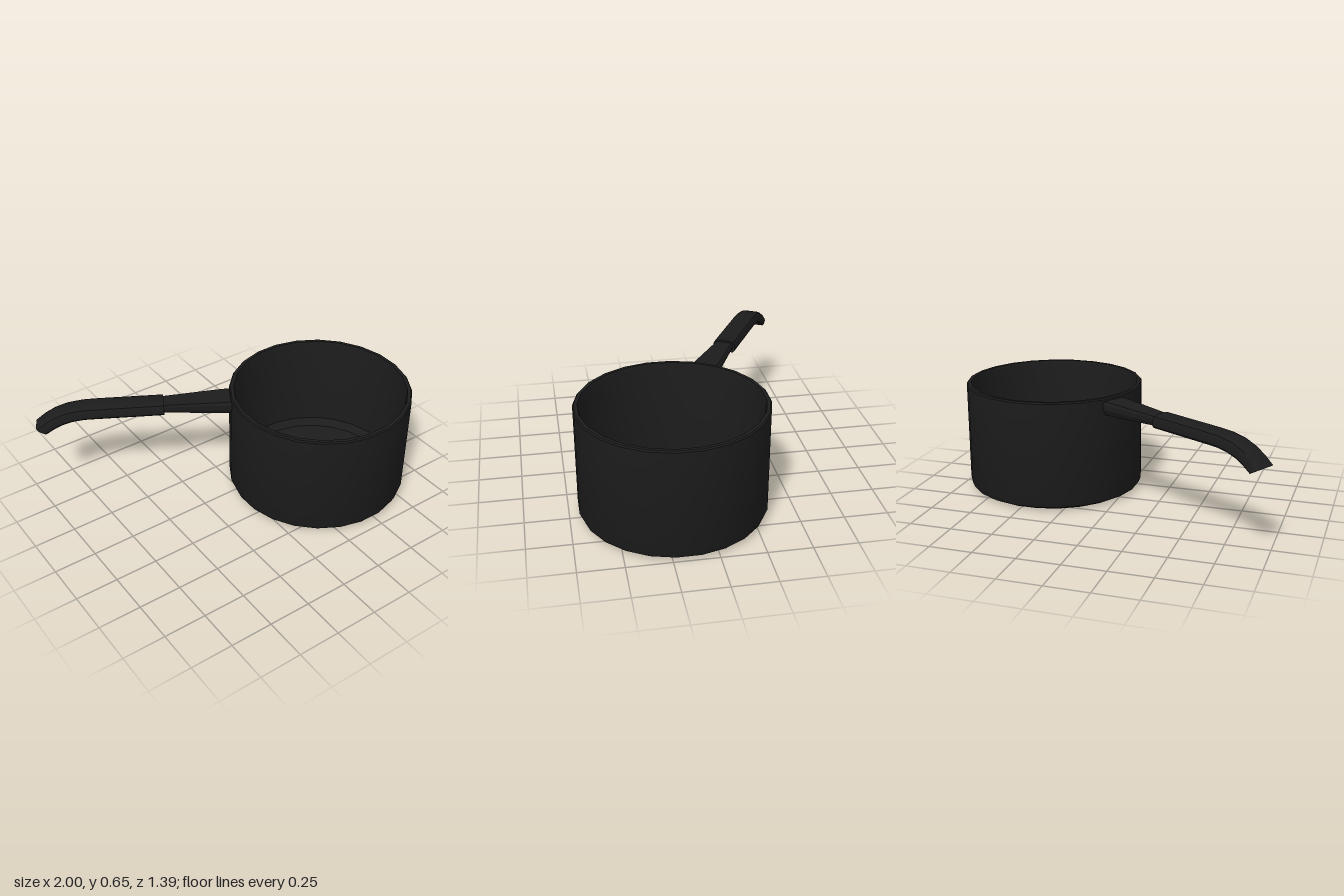
import * as THREE from 'three';
import { toCreasedNormals } from 'three/addons/utils/BufferGeometryUtils.js';

const material = new THREE.MeshStandardMaterial({ color: 0x1c1c1c });

// Skins a half profile (mirrored across the width) along sections.
// Section: [xTop, yTop, xBottom, yBottom, halfWidth]; profile: [u, v] from bottom to top.
function loft(sections, half, crease) {
  const ring = [...half, ...half.slice().reverse().map(([u, v]) => [-u, v])];
  const n = ring.length;
  const positions = [];
  const index = [];
  for (const [xt, yt, xb, yb, w] of sections) {
    for (const [u, v] of ring) {
      const k = (v + 1) / 2;
      positions.push(xb + (xt - xb) * k, yb + (yt - yb) * k, u * w);
    }
  }
  // End cap centres
  for (const [xt, yt, xb, yb] of [sections[0], sections.at(-1)]) {
    positions.push((xt + xb) / 2, (yt + yb) / 2, 0);
  }
  const last = (sections.length - 1) * n;
  const startCentre = sections.length * n;
  for (let j = 0; j < n; j++) {
    const k = (j + 1) % n;
    for (let r = 0; r < last; r += n) {
      index.push(r + j, r + n + j, r + k, r + k, r + n + j, r + n + k);
    }
    index.push(startCentre, j, k, startCentre + 1, last + k, last + j);
  }
  const geometry = new THREE.BufferGeometry();
  geometry.setAttribute('position', new THREE.Float32BufferAttribute(positions, 3));
  geometry.setIndex(index);
  return toCreasedNormals(geometry, crease);
}

function addMesh(parent, name, geometry) {
  const mesh = new THREE.Mesh(geometry, material);
  mesh.name = name;
  parent.add(mesh);
}

export function createModel() {
  const model = new THREE.Group();
  model.name = 'saucepan';

  // Everything is built around the pot's axis, with the handle along local +x
  const pan = new THREE.Group();
  pan.name = 'pan';
  pan.position.set(0.4675, 0, 0.165);
  model.add(pan);

  // Pot: outside, rim and inside in one turned profile
  const profile = [
    [0, 0], [0.488, 0], [0.522, 0.018], [0.535, 0.048], [0.535, 0.647], [0.528, 0.655],
    [0.508, 0.655], [0.502, 0.625], [0.495, 0.075], [0.46, 0.035], [0, 0.03],
  ].map(([x, y]) => new THREE.Vector2(x, y));
  const sides = 24;
  const pot = new THREE.LatheGeometry(profile, sides, Math.PI / sides);
  addMesh(pan, 'pot', toCreasedNormals(pot, 0.5));

  const handle = new THREE.Group();
  handle.name = 'handle';
  handle.rotation.y = Math.PI - 0.513;
  pan.add(handle);

  // Tapered bracket joining the pot to the grip
  addMesh(handle, 'handleBracket', loft([
    [0.512, 0.638, 0.512, 0.556, 0.081],
    [0.6, 0.636, 0.6, 0.558, 0.077],
    [0.95, 0.625, 0.95, 0.575, 0.052],
  ], [[0.8, -1], [1, -0.2], [1, 0.6], [0.88, 1]], 0.4));

  // Grip with a rounded top and a down-curved tip
  addMesh(handle, 'handleGrip', loft([
    [0.918, 0.638, 0.918, 0.566, 0.067],
    [1.3, 0.638, 1.3, 0.566, 0.067],
    [1.385, 0.636, 1.375, 0.565, 0.066],
    [1.475, 0.622, 1.445, 0.555, 0.065],
    [1.55, 0.594, 1.505, 0.536, 0.065],
    [1.61, 0.556, 1.555, 0.51, 0.066],
    [1.66, 0.515, 1.6, 0.48, 0.067],
  ], [[0.88, -1], [1, -0.7], [1, 0.35], [0.87, 0.78], [0.6, 1]], 0.6));

  return model;
}
